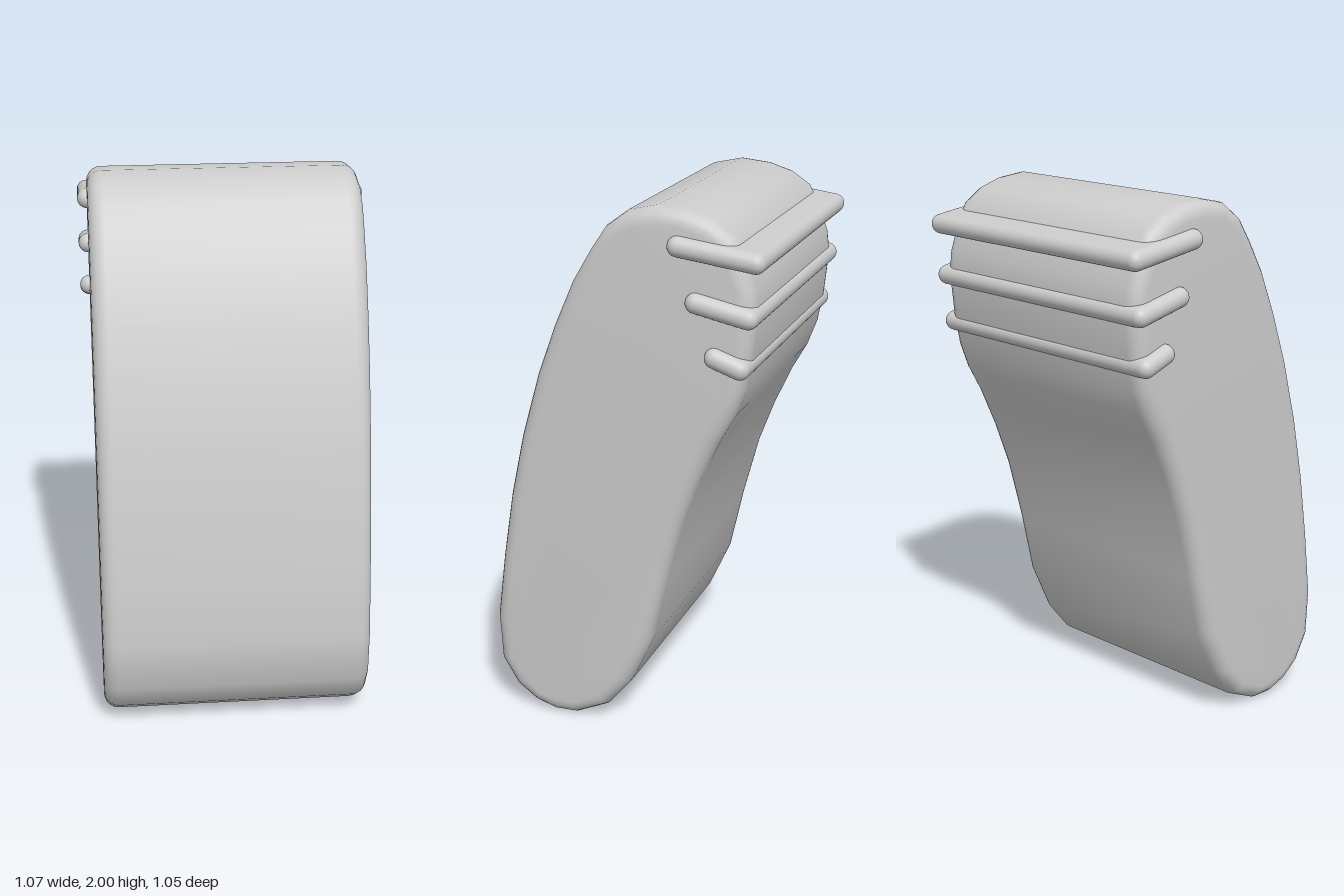
import * as THREE from 'three';
import { toCreasedNormals } from 'three/addons/utils/BufferGeometryUtils.js';
import { RoundedBoxGeometry } from 'three/addons/geometries/RoundedBoxGeometry.js';

// Side outline as [z, y]
const OUTLINE = [
  [-0.13, 2.0], [-0.02, 1.975], [0.06, 1.915], [0.117, 1.83], [0.186, 1.713], [0.26, 1.544],
  [0.33, 1.353], [0.398, 1.114], [0.45, 0.875], [0.49, 0.626], [0.523, 0.37], [0.513, 0.19],
  [0.45, 0.085], [0.37, 0.027], [0.286, 0.002], [0.2, 0.005], [0.074, 0.064], [-0.02, 0.18],
  [-0.106, 0.37], [-0.16, 0.615], [-0.223, 0.854], [-0.286, 1.024], [-0.355, 1.178],
  [-0.414, 1.284], [-0.45, 1.38], [-0.472, 1.5], [-0.488, 1.66], [-0.478, 1.74],
  [-0.446, 1.83], [-0.403, 1.915], [-0.33, 1.963], [-0.24, 1.99],
];

// Grip ridges: front and back edge centres as [z, y]
const RIDGES = [
  { front: [-0.215, 1.875], back: [-0.49, 1.84] },
  { front: [-0.28, 1.685], back: [-0.467, 1.647] },
  { front: [-0.35, 1.498], back: [-0.44, 1.467] },
];

export function createModel() {
  const group = new THREE.Group();
  const grey = new THREE.MeshStandardMaterial({ color: 0xcccccc });
  grey.name = 'light grey';

  // Curved body with rounded side edges
  const bevel = 0.055;
  const shape = new THREE.Shape(OUTLINE.map(([z, y]) => new THREE.Vector2(z, y)));
  const bodyGeometry = new THREE.ExtrudeGeometry(shape, {
    depth: 1 - 2 * bevel, bevelThickness: bevel, bevelSize: bevel, bevelOffset: -bevel, bevelSegments: 5,
  });
  bodyGeometry.translate(0, 0, -(0.5 - bevel));
  bodyGeometry.rotateY(-Math.PI / 2);
  const body = new THREE.Mesh(toCreasedNormals(bodyGeometry, 0.7), grey);
  body.name = 'body';
  group.add(body);

  // Rounded, tilted slabs wrapping the upper back
  const r = 0.036;
  RIDGES.forEach(({ front, back }, i) => {
    const dz = front[0] - back[0], dy = front[1] - back[1];
    const ridge = new THREE.Mesh(
      new RoundedBoxGeometry(1.072, 2 * r, Math.hypot(dz, dy) + 2 * r, 5, r - 0.0005), grey);
    ridge.position.set(0, (front[1] + back[1]) / 2, (front[0] + back[0]) / 2);
    ridge.rotation.x = -Math.atan2(dy, dz);
    ridge.name = `gripRidge${i + 1}`;
    group.add(ridge);
  });
  return group;
}
